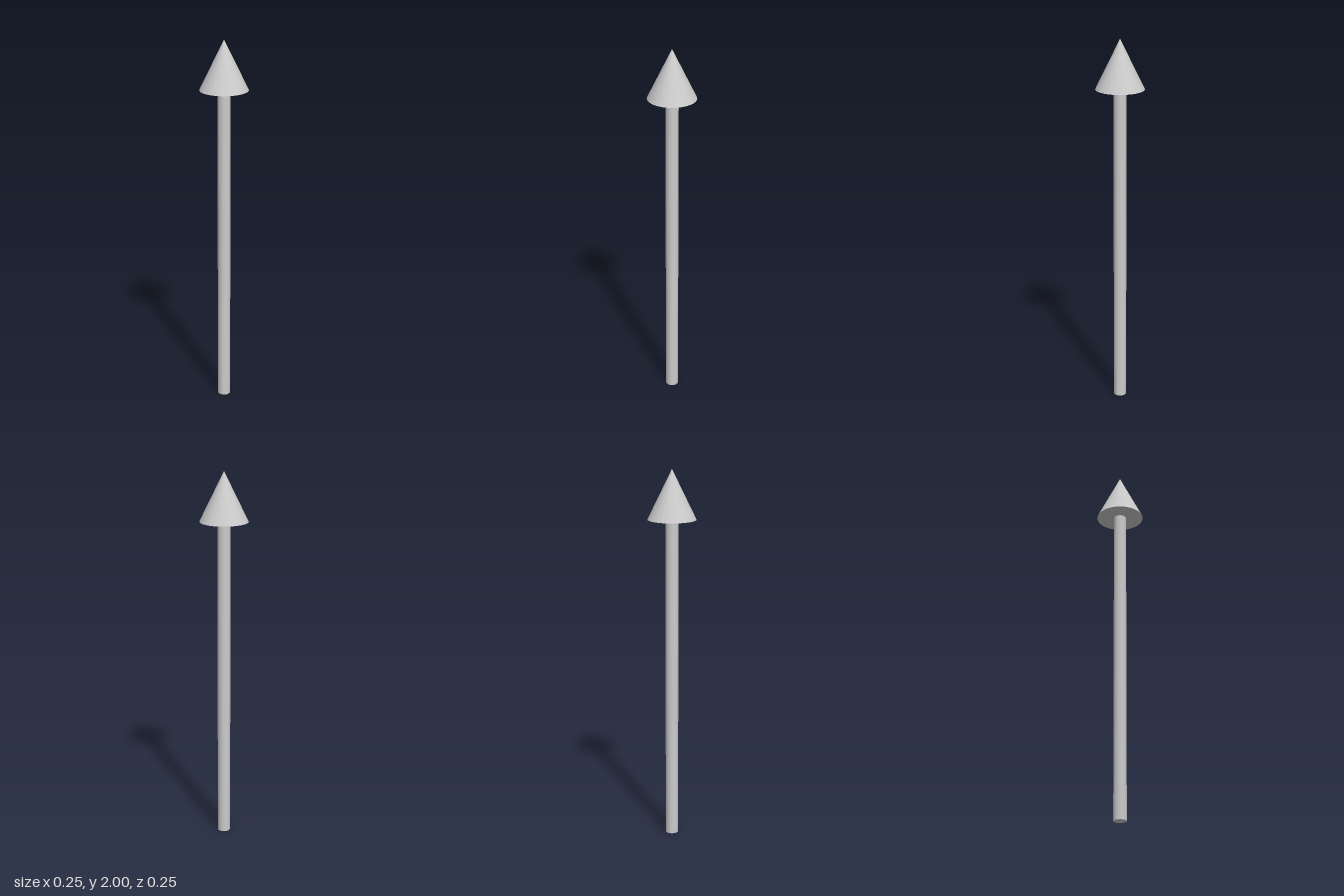
import * as THREE from 'three';

const SIDES = 32;
const HEIGHT = 2;
const HEAD_BASE = 1.74;

export function createModel() {
  const model = new THREE.Group();
  model.name = 'arrow';
  const material = new THREE.MeshStandardMaterial({ color: 0xcccccc, flatShading: true });

  // Adds a part whose underside rests at the given height
  const addPart = (name, geometry, height, bottom) => {
    const mesh = new THREE.Mesh(geometry, material);
    mesh.name = name;
    mesh.position.y = bottom + height / 2;
    model.add(mesh);
  };

  // Slim round shaft standing on the ground
  addPart('shaft', new THREE.CylinderGeometry(0.034, 0.034, HEAD_BASE, SIDES), HEAD_BASE, 0);

  // Pointed head with a closed flat underside
  const headHeight = HEIGHT - HEAD_BASE;
  addPart('arrowHead', new THREE.ConeGeometry(0.127, headHeight, SIDES), headHeight, HEAD_BASE);

  return model;
}
